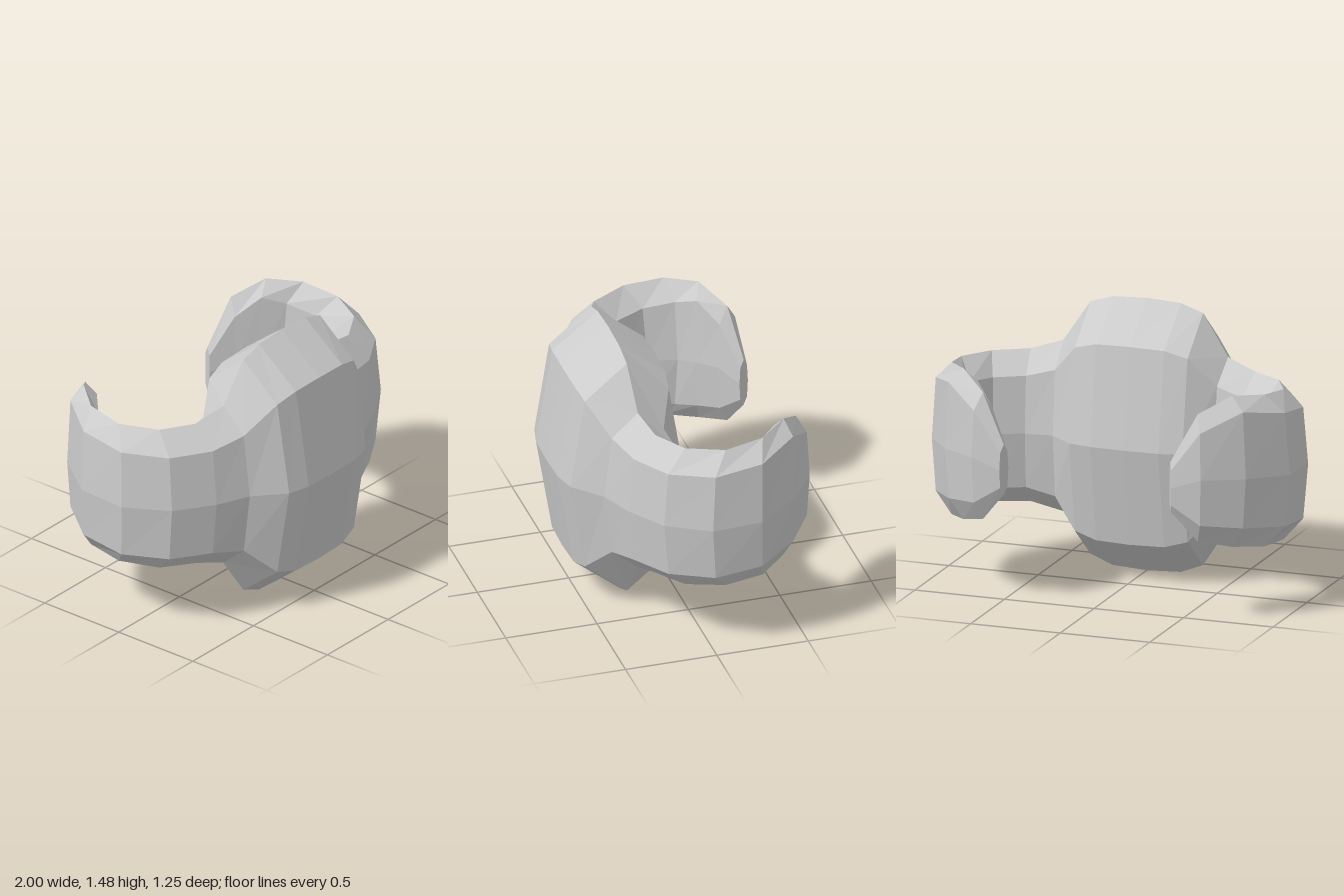
import * as THREE from 'three';

// One ring per row, from the middle to the tip of the left arm:
// outer x, outer z, inner x, inner z, then heights of
// top ridge, upper shoulder, middle, lower shoulder, bottom ridge, and shoulder width
const HALF = [
  [0.00, 0.625, 0.00, -0.06, 1.48, 1.28, 0.74, 0.205, 0.00, 0.74],
  [0.19, 0.62, 0.19, -0.055, 1.47, 1.275, 0.74, 0.21, 0.01, 0.74],
  [0.315, 0.59, 0.315, -0.03, 1.43, 1.24, 0.74, 0.245, 0.06, 0.74],
  [0.47, 0.45, 0.45, 0.08, 1.21, 1.085, 0.74, 0.40, 0.28, 0.78],
  [0.65, 0.375, 0.60, 0.065, 1.16, 1.045, 0.74, 0.44, 0.33, 0.8],
  [0.86, 0.245, 0.745, -0.02, 1.16, 1.045, 0.745, 0.445, 0.34, 0.8],
  [1.00, 0.02, 0.80, -0.18, 1.17, 1.06, 0.75, 0.455, 0.355, 0.8],
  [1.00, -0.25, 0.75, -0.33, 1.195, 1.095, 0.76, 0.48, 0.37, 0.8],
  [0.84, -0.48, 0.66, -0.405, 1.215, 1.14, 0.78, 0.51, 0.395, 0.8],
  [0.64, -0.62, 0.56, -0.49, 1.13, 1.04, 0.79, 0.54, 0.44, 0.8],
  [0.48, -0.63, 0.45, -0.575, 0.87, 0.83, 0.735, 0.64, 0.60, 0.8],
];

// Eight-sided cross-section: front, over the top, back, under the bottom
function ring([ox, oz, ix, iz, top, up, mid, low, bottom, w], side) {
  const point = (s, y) => new THREE.Vector3(
    side * ((ox + ix) / 2 + s * (ox - ix) / 2), y, (oz + iz) / 2 + s * (oz - iz) / 2);
  return [point(1, mid), point(w, up), point(0, top), point(-w, up),
    point(-1, mid), point(-w, low), point(0, bottom), point(w, low)];
}

// Skin the rings with quads and close both ends
function skin(rings) {
  const n = rings[0].length, last = rings.length - 1;
  const positions = [];
  const tri = (...corners) => corners.forEach((p) => positions.push(p.x, p.y, p.z));
  for (let i = 0; i < last; i++) {
    for (let j = 0; j < n; j++) {
      const k = (j + 1) % n;
      tri(rings[i][j], rings[i + 1][j], rings[i + 1][k]);
      tri(rings[i][j], rings[i + 1][k], rings[i][k]);
    }
  }
  for (let j = 1; j < n - 1; j++) {
    tri(rings[0][0], rings[0][j], rings[0][j + 1]);
    tri(rings[last][0], rings[last][j + 1], rings[last][j]);
  }
  const geometry = new THREE.BufferGeometry();
  geometry.setAttribute('position', new THREE.Float32BufferAttribute(positions, 3));
  geometry.computeVertexNormals();
  return geometry;
}

export function createModel() {
  const group = new THREE.Group();
  group.name = 'cuff';
  const material = new THREE.MeshStandardMaterial({ color: 0xcccccc, flatShading: true });

  // Wide front swelling with two arms curling round to the back
  const rings = [
    ...HALF.slice(1).reverse().map((row) => ring(row, -1)),
    ...HALF.map((row) => ring(row, 1)),
  ];
  const band = new THREE.Mesh(skin(rings), material);
  band.name = 'curvedBand';
  group.add(band);
  return group;
}
